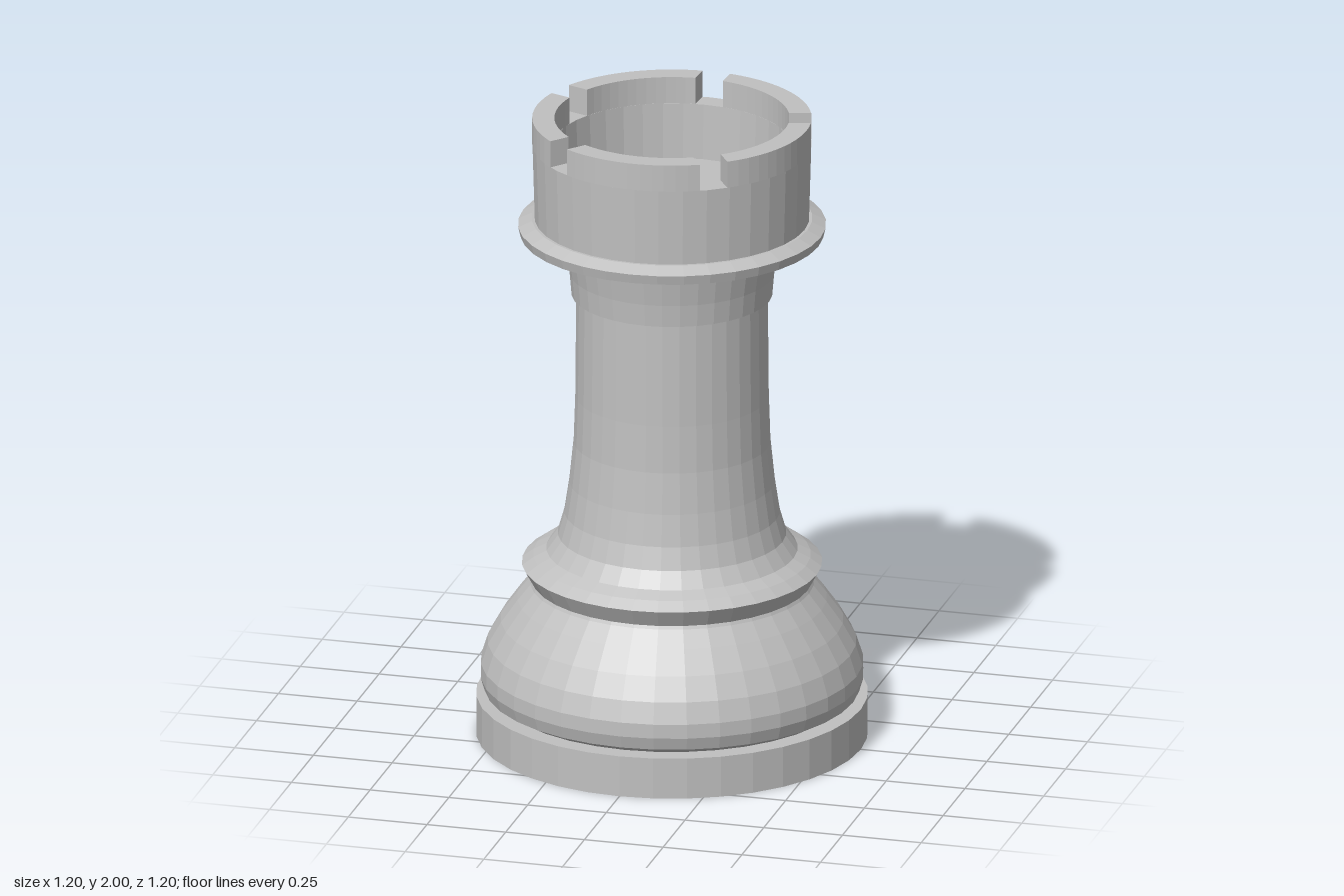
import * as THREE from 'three';

const SIDES = 36;
const grey = new THREE.MeshStandardMaterial({ color: 0xc0c0c0, flatShading: true });
grey.name = 'stone grey';

export function createModel() {
  const model = new THREE.Group();
  model.name = 'rook';

  const add = (name, geometry, parent = model) => {
    const mesh = new THREE.Mesh(geometry, grey);
    mesh.name = name;
    parent.add(mesh);
    return mesh;
  };
  // Turned part from [radius, height] pairs, listed bottom to top
  const turned = (name, profile) =>
    add(name, new THREE.LatheGeometry(profile.map(([r, y]) => new THREE.Vector2(r, y)), SIDES));

  turned('base', [[0, 0], [0.6, 0], [0.6, 0.13], [0.5, 0.13]]);

  turned('bulge', [
    [0.54, 0.13], [0.575, 0.15], [0.587, 0.19], [0.586, 0.235], [0.565, 0.3],
    [0.525, 0.37], [0.475, 0.44], [0.435, 0.49], [0.43, 0.5],
  ]);

  turned('footRing', [[0.43, 0.5], [0.46, 0.555], [0.425, 0.58], [0.385, 0.6]]);

  turned('shaft', [
    [0.385, 0.6], [0.35, 0.65], [0.33, 0.72], [0.315, 0.82], [0.302, 0.95],
    [0.297, 1.1], [0.294, 1.43],
  ]);

  turned('collar', [[0.29, 1.43], [0.308, 1.43], [0.314, 1.5], [0.326, 1.58], [0.335, 1.61]]);

  turned('flange', [
    [0.335, 1.61], [0.465, 1.625], [0.472, 1.655], [0.43, 1.675], [0.41, 1.675],
  ]);

  // Hollow head up to the notch floors
  const NOTCH_Y = 1.915, OUTER = 0.428, INNER = 0.36;
  turned('head', [
    [0.421, 1.675], [OUTER, NOTCH_Y], [INNER, NOTCH_Y], [0.352, 1.74], [0, 1.74],
  ]);

  // Five battlements separated by parallel-sided notches
  const battlements = new THREE.Group();
  battlements.name = 'battlements';
  model.add(battlements);
  const step = (Math.PI * 2) / 5, half = 0.044;
  for (let i = 0; i < 5; i++) {
    const start = THREE.MathUtils.degToRad(87) + i * step;
    const outerGap = Math.asin(half / OUTER), innerGap = Math.asin(half / INNER);
    const shape = new THREE.Shape();
    shape.absarc(0, 0, OUTER, start + outerGap, start + step - outerGap, false);
    shape.absarc(0, 0, INNER, start + step - innerGap, start + innerGap, true);
    const geometry = new THREE.ExtrudeGeometry(shape, {
      depth: 2 - NOTCH_Y, bevelEnabled: false, curveSegments: 6,
    });
    geometry.rotateX(-Math.PI / 2).translate(0, NOTCH_Y, 0);
    add('battlement' + (i + 1), geometry, battlements);
  }

  return model;
}
